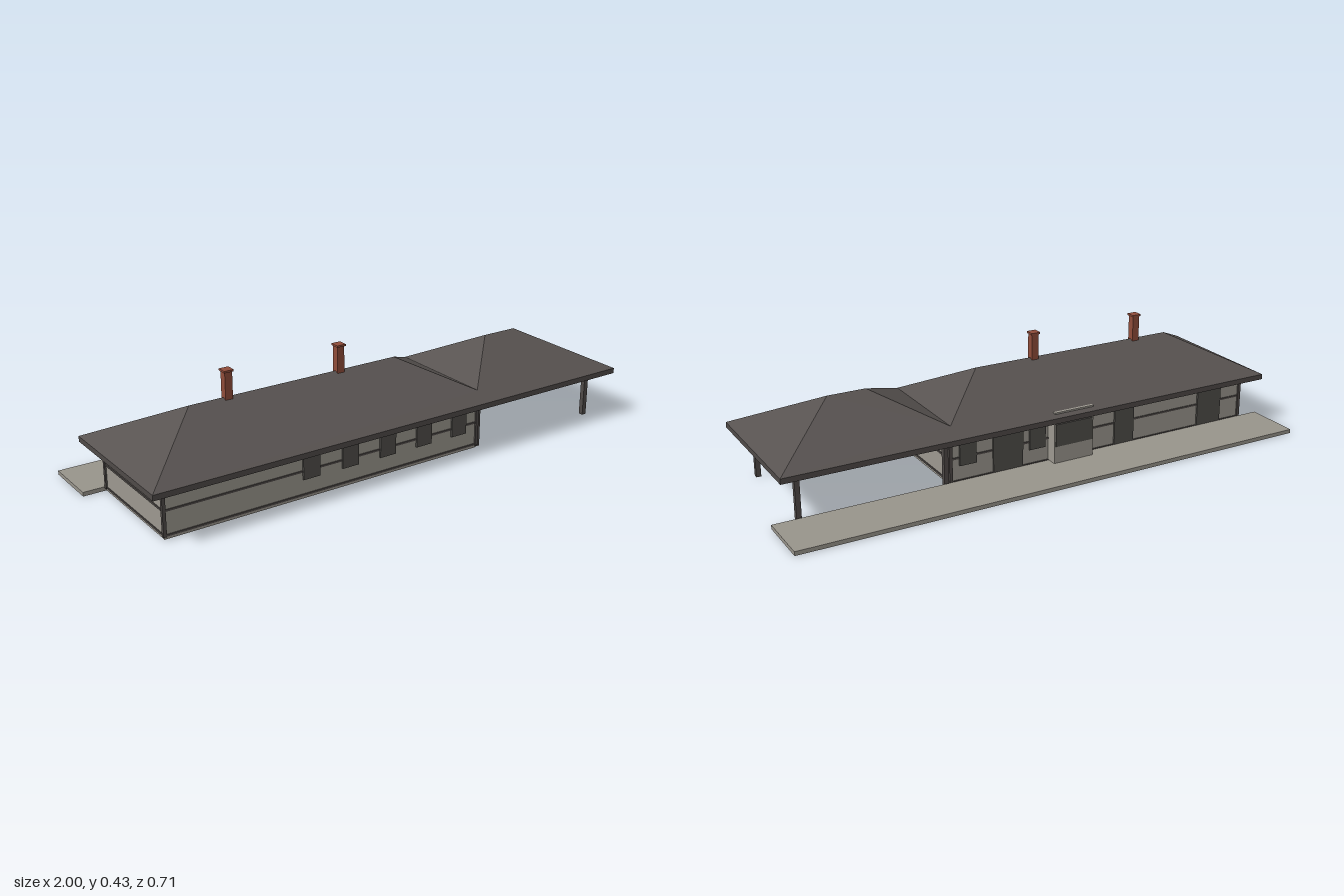
import * as THREE from 'three';

export function createModel() {
  const model = new THREE.Group();
  model.name = 'stationBuilding';

  const mat = (name, color) => {
    const m = new THREE.MeshStandardMaterial({ color });
    m.name = name;
    return m;
  };
  const wall = mat('wallGrey', 0x9c988f);
  const paving = mat('pavingGrey', 0x98948b);
  const trim = mat('darkTrim', 0x4f4a48);
  const shingle = mat('roofShingle', 0x575250);
  const glass = mat('openingDark', 0x504e4a);
  const brick = mat('brickRed', 0x8f4c3a);

  // Box given by its min and max on each axis
  const box = (name, m, x0, x1, y0, y1, z0, z1) => {
    const g = new THREE.BoxGeometry(x1 - x0, y1 - y0, z1 - z0);
    g.translate((x0 + x1) / 2, (y0 + y1) / 2, (z0 + z1) / 2);
    const mesh = new THREE.Mesh(g, m);
    mesh.name = name;
    model.add(mesh);
    return mesh;
  };

  const L = -0.915, R = 0.347, F = 0.29, B = -0.137, EAVE = 0.175;

  // Platform, floor slab and walls
  box('platform', paving, -1, 1, 0, 0.015, -0.355, -0.143);
  box('floorSlab', paving, L, R, 0, 0.012, -0.143, F);
  box('walls', wall, L, R, 0.012, EAVE, B, F);

  // Horizontal trim bands around the walls
  for (const [y0, y1] of [[0.01, 0.017], [0.096, 0.103]]) {
    box('wallBand', trim, L - 0.003, R + 0.003, y0, y1, B - 0.003, F + 0.003);
  }
  // Corner boards
  for (const x of [L, R]) for (const z of [B, F]) {
    box('cornerBoard', trim, x - 0.006, x + 0.006, 0.01, EAVE, z - 0.006, z + 0.006);
  }
  // Posts beside the end wall and under the open shelter
  for (const x of [0.36, 0.901]) for (const z of [-0.125, 0.277]) {
    box('shelterPost', trim, x - 0.009, x + 0.009, 0, EAVE + 0.002, z - 0.009, z + 0.009);
  }

  // Front windows
  for (let i = 0; i < 5; i++) {
    const x = -0.368 + i * 0.1575;
    box('frontWindow', glass, x - 0.033, x + 0.033, 0.07, 0.173, F, F + 0.007);
  }
  // Platform-side doors and windows: centre x, width, sill height
  for (const [x, w, y] of [[0.28, 0.066, 0.07], [0.12, 0.12, 0.016], [0.0, 0.066, 0.07],
    [-0.373, 0.085, 0.016], [-0.767, 0.11, 0.016]]) {
    box(y > 0.05 ? 'backWindow' : 'backDoor', glass, x - w / 2, x + w / 2, y, 0.15, B - 0.007, B);
  }

  // Bay on the platform side, its top just breaking the roof slope
  box('bay', wall, -0.21, -0.047, 0.012, 0.21, -0.182, B);
  box('bayWindow', glass, -0.205, -0.052, 0.08, 0.165, -0.186, -0.182);

  // Triangular eave brackets on both long sides
  const tri = new THREE.Shape([
    new THREE.Vector2(0, 0.15), new THREE.Vector2(0.046, 0.169),
    new THREE.Vector2(0.046, EAVE), new THREE.Vector2(0, EAVE),
  ]);
  const bracketGeo = new THREE.ExtrudeGeometry(tri, { depth: 0.009, bevelEnabled: false });
  bracketGeo.translate(0, 0, -0.0045);
  for (let i = 0; i < 12; i++) {
    for (const s of [1, -1]) {
      const b = new THREE.Mesh(bracketGeo, trim);
      b.name = 'eaveBracket';
      b.rotation.y = -s * Math.PI / 2;
      b.position.set(-0.877 + i * 0.1068, 0, s > 0 ? F : B);
      model.add(b);
    }
  }

  // Roof: fascia slab with flat soffit
  const x0 = -0.976, x1 = 0.978, z0 = -0.2, z1 = 0.352, y0 = 0.195, top = 0.333, zr = 0.076;
  box('fascia', trim, x0, x1, EAVE, y0, z0, z1);

  // Two hipped roofs joined at a level valley
  const pos = [];
  const face = (...p) => {
    for (let i = 1; i < p.length - 1; i++) pos.push(...p[0], ...p[i], ...p[i + 1]);
  };
  const r1 = [-0.7, top, zr], r2 = [0.13, top, zr], r3 = [0.56, top, zr], r4 = [0.702, top, zr];
  const valley = [[0.345, 0.225, 0.292], [0.345, 0.225, -0.14]];
  [z1, z0].forEach((z, k) => {
    const a = [x0, y0, z], b = [x1, y0, z], v = valley[k];
    const f = k === 0 ? face : (...p) => face(...p.reverse());
    f(a, b, v);
    f(a, v, r2, r1);
    f(b, r4, r3, v);
  });
  face([x0, y0, z0], [x0, y0, z1], r1);
  face([x1, y0, z1], [x1, y0, z0], r4);
  face(r2, valley[0], valley[1]);
  face(r3, valley[1], valley[0]);
  const roofGeo = new THREE.BufferGeometry();
  roofGeo.setAttribute('position', new THREE.Float32BufferAttribute(pos, 3));
  roofGeo.computeVertexNormals();
  const roof = new THREE.Mesh(roofGeo, shingle);
  roof.name = 'hippedRoof';
  model.add(roof);

  // Brick chimneys with caps
  for (const x of [-0.557, -0.11]) {
    box('chimney', brick, x - 0.014, x + 0.014, 0.3, 0.423, zr - 0.014, zr + 0.014);
    box('chimneyCap', brick, x - 0.018, x + 0.018, 0.423, 0.43, zr - 0.018, zr + 0.018);
  }

  return model;
}
